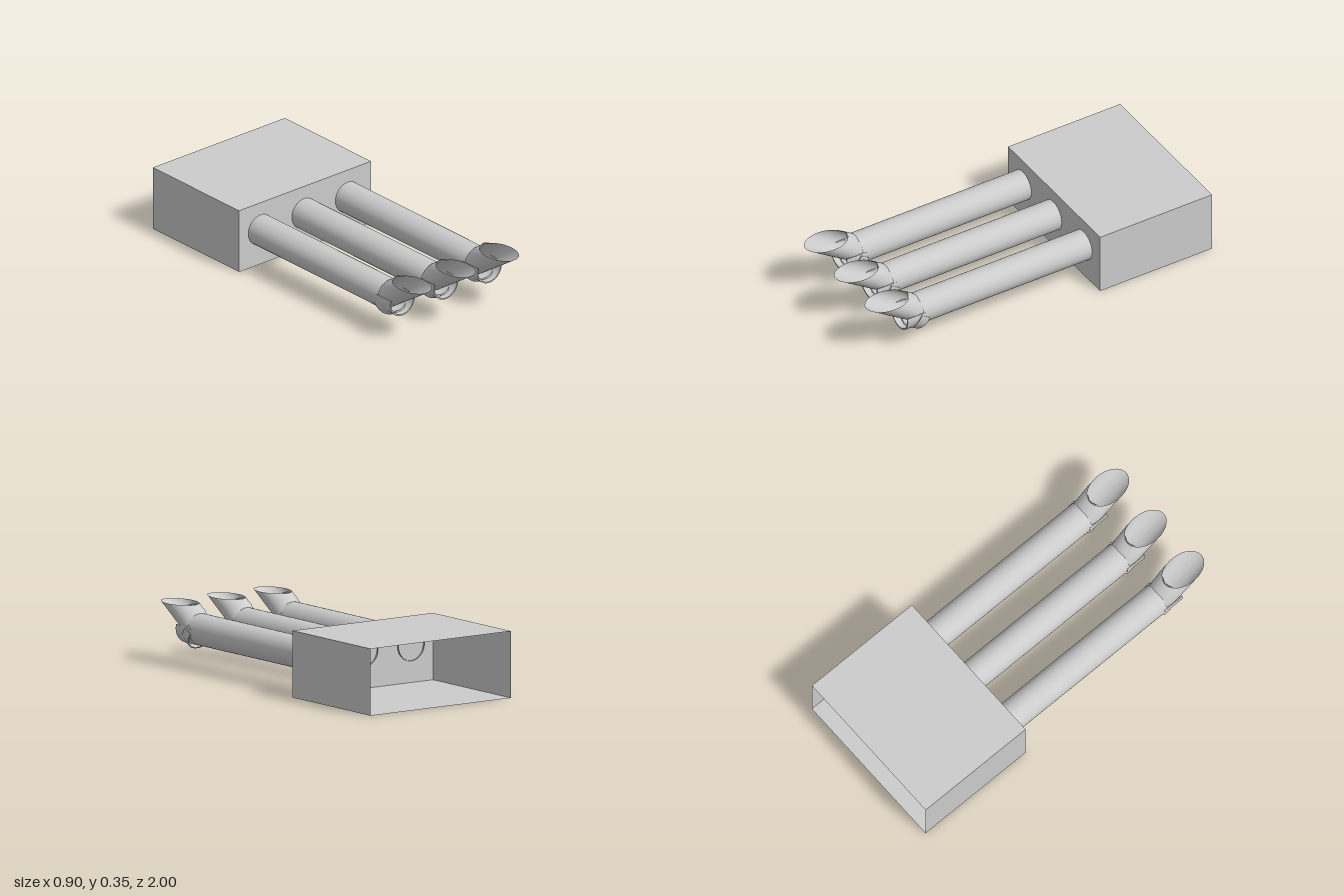
import * as THREE from 'three';

const material = new THREE.MeshStandardMaterial({ color: 0xcccccc, side: THREE.DoubleSide });
const TUBE_Y = 0.198, R = 0.083, WALL = 0.007;

function add(parent, name, geometry) {
  const mesh = new THREE.Mesh(geometry, material);
  mesh.name = name;
  parent.add(mesh);
  return mesh;
}

// Box with its back (-z) face left open
function openBox() {
  const g = new THREE.BoxGeometry(0.9, 0.35, 0.68);
  g.setIndex(Array.from(g.index.array).slice(0, 30));
  g.clearGroups();
  g.translate(0, 0.175, -0.66);
  return g;
}

// Slanted spout: horizontal ellipses from the open top down into the tube
function spoutGeometry() {
  // y, back z, front z, half width
  const sections = [
    [0.317, 0.752, 1.0, R],
    [0.284, 0.7, 0.95, R],
    [0.235, 0.65, 0.875, 0.08],
    [0.188, 0.61, 0.803, 0.076],
    [0.15, 0.585, 0.745, 0.06],
    [0.122, 0.57, 0.7, 0.02],
  ];
  const n = 40;
  const g = new THREE.CylinderGeometry(1, 1, 1, n, sections.length - 1, true);
  const p = g.attributes.position;
  for (let i = 0; i < p.count; i++) {
    const [y, back, front, w] = sections[Math.floor(i / (n + 1))];
    p.setXYZ(i, p.getX(i) * w, y, (back + front) / 2 + p.getZ(i) * (front - back) / 2);
  }
  g.computeVertexNormals();
  return g;
}

// Lower arc of a pipe wall, extruded along +z
function troughGeometry(radius, length, rise) {
  const s = new THREE.Shape();
  s.absarc(0, 0, radius, Math.PI - rise, 2 * Math.PI + rise, false);
  s.absarc(0, 0, radius - WALL, 2 * Math.PI + rise, Math.PI - rise, true);
  return new THREE.ExtrudeGeometry(s, { depth: length, bevelEnabled: false, curveSegments: 32 });
}

function exhaustPipe(x) {
  const pipe = new THREE.Group();
  pipe.name = 'pipe';
  pipe.position.x = x;

  // Straight tube
  const tube = new THREE.CylinderGeometry(R, R, 1.03, 40, 1, true);
  tube.rotateX(Math.PI / 2);
  tube.translate(0, TUBE_Y, 0.185);
  add(pipe, 'tube', tube);

  // Cut-away lip at the end of the tube
  add(pipe, 'tubeLip', troughGeometry(R + 0.001, 0.12, 0.25)).position.set(0, TUBE_Y, 0.68);

  // Upturned spout
  add(pipe, 'spout', spoutGeometry());

  // Tilted strap under the bend
  const strap = add(pipe, 'strap', troughGeometry(0.087, 0.055, 0.2));
  strap.position.set(0.003, 0.168, 0.678);
  strap.rotation.x = -0.575;

  // Small collar rim at the top rear of the spout
  const rim = new THREE.CatmullRomCurve3([
    new THREE.Vector3(-0.04, 0.314, 0.77),
    new THREE.Vector3(0, 0.323, 0.754),
    new THREE.Vector3(0.04, 0.314, 0.77),
  ]);
  add(pipe, 'rearRim', new THREE.TubeGeometry(rim, 12, 0.003, 6));
  return pipe;
}

export function createModel() {
  const model = new THREE.Group();
  model.name = 'pipeBox';
  add(model, 'box', openBox());
  for (const x of [-0.305, -0.008, 0.289]) model.add(exhaustPipe(x));
  return model;
}
